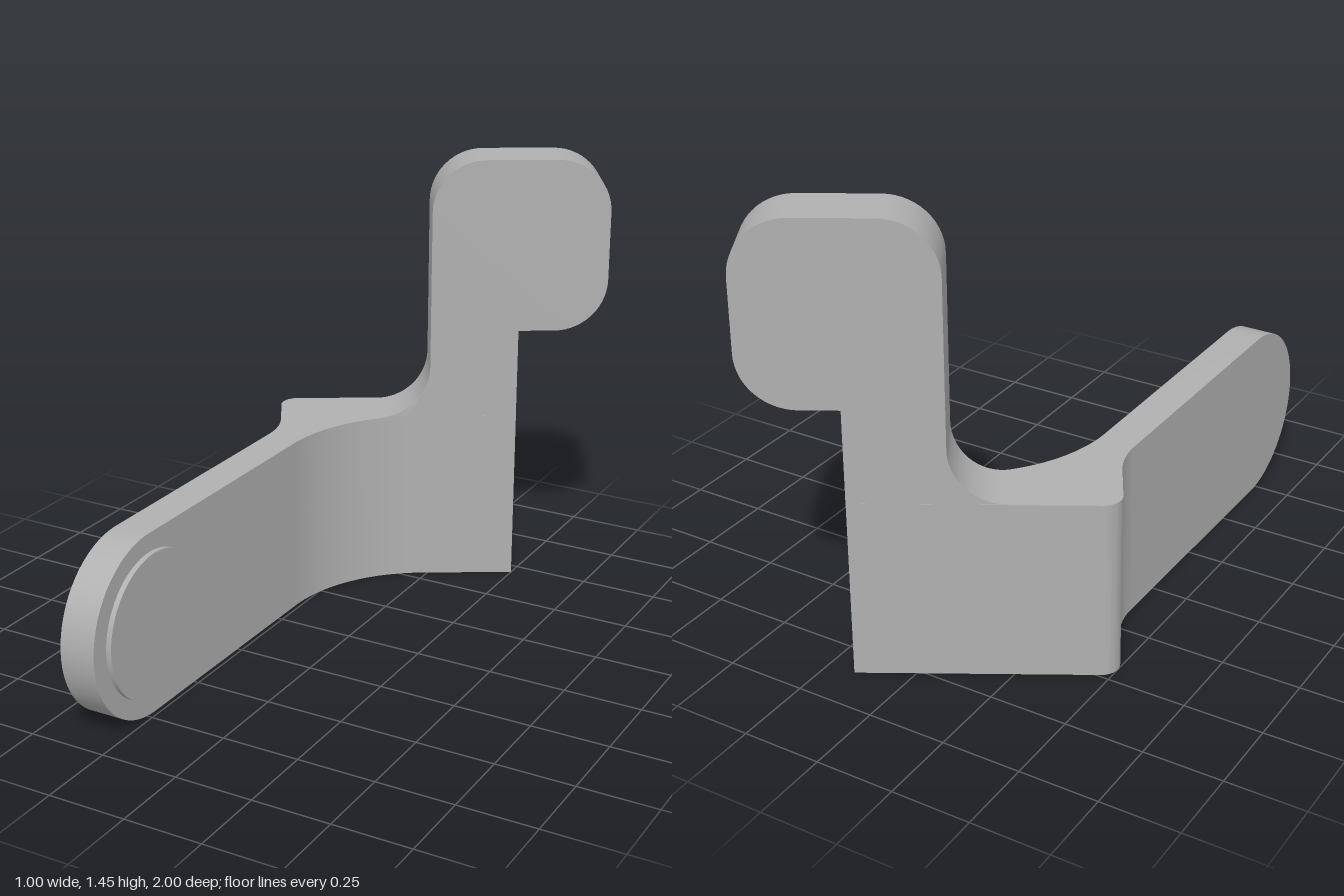
import * as THREE from 'three';
import { toCreasedNormals } from 'three/addons/utils/BufferGeometryUtils.js';

const H = 0.577;      // height of the lower body, also the head size
const T = 0.179;      // plate thickness
const R = 0.173;      // corner radius of the plate
const BEND = 0.5;     // radius of the inner bend

// Polygon from [x, y, radius] corners, each optionally rounded
function roundedShape(corners, steps = 14) {
  const pts = [];
  const n = corners.length;
  corners.forEach(([x, y, r], i) => {
    const p = new THREE.Vector2(x, y);
    if (!r) { pts.push(p); return; }
    const [ax, ay] = corners[(i + n - 1) % n];
    const [bx, by] = corners[(i + 1) % n];
    const a = new THREE.Vector2(ax, ay).sub(p).normalize();
    const b = new THREE.Vector2(bx, by).sub(p).normalize();
    const half = Math.acos(a.dot(b)) / 2;
    const t = r / Math.tan(half);
    const c = a.clone().add(b).normalize().multiplyScalar(r / Math.sin(half)).add(p);
    const start = a.clone().multiplyScalar(t).add(p).sub(c).angle();
    const end = b.clone().multiplyScalar(t).add(p).sub(c).angle();
    let sweep = end - start;
    if (sweep > Math.PI) sweep -= 2 * Math.PI;
    if (sweep < -Math.PI) sweep += 2 * Math.PI;
    for (let k = 0; k <= steps; k++) {
      const g = start + (sweep * k) / steps;
      pts.push(new THREE.Vector2(c.x + r * Math.cos(g), c.y + r * Math.sin(g)));
    }
  });
  return new THREE.Shape(pts);
}

const extrude = (shape, depth) =>
  new THREE.ExtrudeGeometry(shape, { depth, bevelEnabled: false });

export function createModel() {
  const model = new THREE.Group();
  model.name = 'bracket';
  const grey = new THREE.MeshStandardMaterial({ color: 0xb0b0b0 });
  grey.name = 'plain grey';

  const add = (name, geometry, parent = model) => {
    const mesh = new THREE.Mesh(toCreasedNormals(geometry, 0.5), grey);
    mesh.name = name;
    parent.add(mesh);
    return mesh;
  };

  // Straight arm with a round end, drawn in (z, y)
  const arm = extrude(roundedShape([
    [-0.113, 0], [1, 0, 0.288], [1, H, 0.288], [-0.113, H],
  ], 24), 0.115);
  arm.rotateY(-Math.PI / 2).translate(-0.265, 0, 0);
  add('arm', arm);

  // Raised disc on the arm's inner face
  const disc = new THREE.CylinderGeometry(0.23, 0.23, 0.027, 64);
  disc.rotateZ(Math.PI / 2).translate(-0.2615, 0.289, 0.71);
  add('disc', disc);

  // Bent body, drawn in plan as (x, -z)
  const body = extrude(roundedShape([
    [-0.265, 0.112], [-0.265, 0.402, BEND], [0.25, 0.6995], [0.16, 0.8545],
    [-0.521, 0.463, 0.058], [-0.38, 0.219, 0.28], [-0.38, 0.112],
  ], 20), H);
  body.rotateX(-Math.PI / 2);
  add('body', body);

  // Upright plate, turned 30 degrees
  const upright = new THREE.Group();
  upright.name = 'upright';
  upright.position.set(-0.09, 0, -0.71);
  upright.rotation.y = Math.PI / 6;
  model.add(upright);

  // Neck and rounded head
  add('neckAndHead', extrude(roundedShape([
    [0, H], [0.289, H], [0.289, 0.873],
    [0.577, 0.873, R], [0.577, 1.445, R], [0, 1.445, R],
  ]), T), upright);

  // Concave fillet between body and neck
  const arc = [];
  const foot = [];
  for (let k = 0; k <= 16; k++) {
    const a = (k / 16) * Math.PI / 2;
    const u = R * (Math.cos(a) - 1);
    arc.push(new THREE.Vector2(u, H + R * (1 - Math.sin(a))));
    if (k < 16) foot.unshift(new THREE.Vector2(u, H));
  }
  const fillet = extrude(new THREE.Shape([...arc, ...foot]), T);
  // its front follows the inner bend
  const pos = fillet.attributes.position;
  for (let i = 0; i < pos.count; i++) {
    if (pos.getZ(i) < T / 2) continue;
    const d = Math.max(0, -0.017 - pos.getX(i));
    pos.setZ(i, T + BEND - Math.sqrt(BEND * BEND - d * d));
  }
  add('neckFillet', fillet, upright);

  return model;
}
